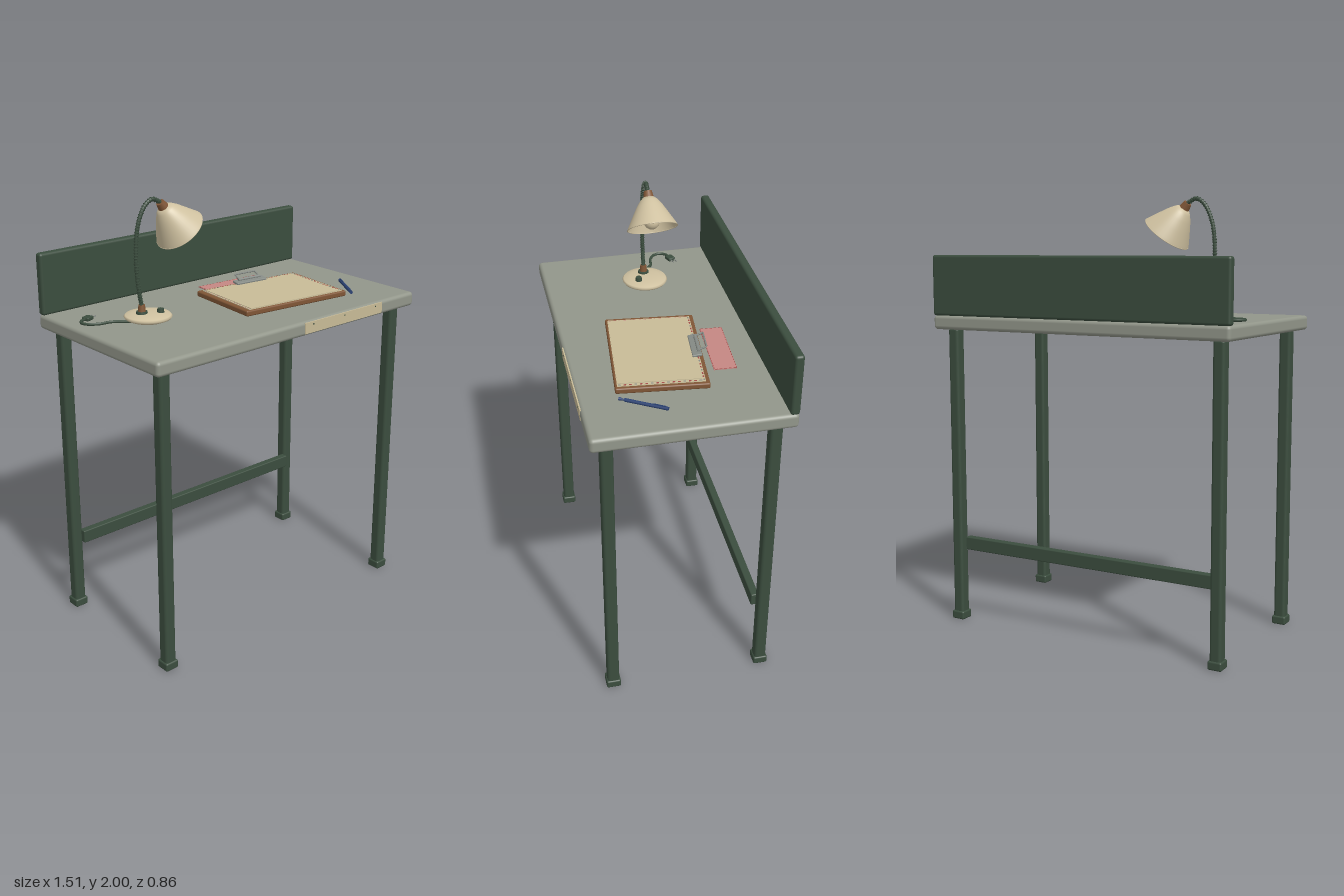
import * as THREE from 'three';
import { RoundedBoxGeometry } from 'three/addons/geometries/RoundedBoxGeometry.js';

const mat = (name, color, side = THREE.FrontSide) => {
  const m = new THREE.MeshStandardMaterial({ color, side });
  m.name = name;
  return m;
};

export function createModel() {
  const green = mat('dark green paint', 0x3b4d3e);
  const grey = mat('grey top', 0x92968a);
  const cream = mat('cream enamel', 0xcfc1a0, THREE.DoubleSide);
  const paper = mat('paper', 0xc8bb97);
  const brown = mat('brown wood', 0x805636);
  const pink = mat('pink paper', 0xc58783);
  const red = mat('red ink', 0xa34a48);
  const blue = mat('blue pen', 0x2b4273);
  const steel = mat('steel', 0x868b86);

  const root = new THREE.Group();
  root.name = 'desk';
  const TOP = 1.465;

  const add = (parent, name, geo, m, x = 0, y = 0, z = 0) => {
    const mesh = new THREE.Mesh(geo, m);
    mesh.name = name;
    mesh.position.set(x, y, z);
    parent.add(mesh);
    return mesh;
  };
  const box = (w, h, d) => new THREE.BoxGeometry(w, h, d);
  const rbox = (w, h, d, r) => new RoundedBoxGeometry(w, h, d, 3, r);
  const group = (name, x, y, z, ry = 0) => {
    const g = new THREE.Group();
    g.name = name;
    g.position.set(x, y, z);
    g.rotation.y = ry;
    root.add(g);
    return g;
  };
  const v = (x, y, z) => new THREE.Vector3(x, y, z);
  const tube = (pts, r, n = 48) => new THREE.TubeGeometry(new THREE.CatmullRomCurve3(pts), n, r, 8);
  const lathe = (pts, n = 40) => new THREE.LatheGeometry(pts.map(p => new THREE.Vector2(...p)), n);

  // Table frame
  add(root, 'tabletop', rbox(1.514, 0.066, 0.856, 0.017), grey, 0, 1.432, 0);
  add(root, 'backPanel', rbox(1.514, 0.278, 0.04, 0.012), green, 0, 1.602, -0.408);
  for (const x of [-0.683, 0.683]) for (const z of [-0.352, 0.352]) {
    add(root, 'leg', rbox(0.055, 1.385, 0.055, 0.014), green, x, 0.7125, z);
    add(root, 'foot', rbox(0.066, 0.04, 0.066, 0.008), green, x, 0.02, z);
  }
  add(root, 'backRail', rbox(1.32, 0.062, 0.036, 0.005), green, 0, 0.37, -0.323);

  // Paper strip pinned to the front edge
  add(root, 'frontStrip', box(0.49, 0.05, 0.008), paper, 0.29, 1.434, 0.4255);
  for (const x of [0.095, 0.29, 0.49])
    add(root, 'stripPin', box(0.006, 0.006, 0.002), green, x, 1.447, 0.43);

  // Lamp base
  const lamp = group('lamp', 0, 0, -0.042);
  add(lamp, 'lampBase', lathe([[0, 0], [0.075, 0], [0.1, 0.01], [0.106, 0.019], [0.1, 0.026],
    [0.07, 0.034], [0.03, 0.038], [0, 0.038]]), cream, -0.445, TOP, 0);
  add(lamp, 'lampFootRing', new THREE.CylinderGeometry(0.024, 0.026, 0.012, 20), green, -0.478, TOP + 0.04, 0);
  add(lamp, 'lampSocket', new THREE.CylinderGeometry(0.014, 0.018, 0.035, 20), brown, -0.478, TOP + 0.058, 0);
  add(lamp, 'lampSwitch', new THREE.CylinderGeometry(0.014, 0.016, 0.018, 20), green, -0.405, TOP + 0.044, 0.037);

  // Ribbed gooseneck
  const neckPts = [[-0.478, 1.53], [-0.496, 1.65], [-0.5, 1.78], [-0.485, 1.888],
    [-0.448, 1.962], [-0.408, 1.986], [-0.368, 1.968]].map(p => v(p[0], p[1], 0));
  const neck = new THREE.CatmullRomCurve3(neckPts);
  add(lamp, 'gooseneck', tube(neckPts, 0.0085, 60), green);
  const ribs = 44;
  const ribGeo = new THREE.TorusGeometry(0.0085, 0.0025, 5, 12);
  for (let i = 0; i <= ribs; i++) {
    const rib = add(lamp, 'gooseneckRib', ribGeo, green);
    rib.position.copy(neck.getPointAt(i / ribs));
    rib.quaternion.setFromUnitVectors(v(0, 0, 1), neck.getTangentAt(i / ribs));
  }

  // Shade, built along its own axis with the mouth at y = 0
  const shade = new THREE.Group();
  shade.name = 'lampShade';
  shade.position.set(-0.265, 1.835, 0);
  shade.quaternion.setFromUnitVectors(v(0, 1, 0), v(-0.61, 0.79, 0).normalize());
  lamp.add(shade);
  add(shade, 'shadeCone', lathe([[0.114, 0], [0.108, 0.012], [0.084, 0.055], [0.06, 0.097],
    [0.04, 0.125], [0.026, 0.138], [0, 0.141]]), cream);
  add(shade, 'shadeRim', new THREE.TorusGeometry(0.113, 0.002, 6, 40).rotateX(Math.PI / 2), cream);
  add(shade, 'shadeCollar', new THREE.CylinderGeometry(0.018, 0.025, 0.034, 20), brown, 0, 0.15, 0);
  add(shade, 'bulb', new THREE.SphereGeometry(0.036, 24, 16), cream, 0, 0.03, 0);
  add(shade, 'bulbNeck', new THREE.CylinderGeometry(0.018, 0.025, 0.09, 16), cream, 0, 0.09, 0);

  // Cord and plug
  const cy = TOP + 0.008;
  add(root, 'cord', tube([v(-0.53, cy, -0.05), v(-0.56, cy, -0.075), v(-0.595, cy, -0.102), v(-0.65, cy, -0.112),
    v(-0.692, cy, -0.138), v(-0.703, cy, -0.17), v(-0.685, cy, -0.198), v(-0.655, cy, -0.208)], 0.0065), green);
  const plug = group('plug', -0.645, cy + 0.001, -0.211, 0.35);
  add(plug, 'plugBody', rbox(0.042, 0.017, 0.036, 0.005), green);
  for (const z of [-0.009, 0.009])
    add(plug, 'plugProng', box(0.026, 0.004, 0.005), steel, 0.033, 0, z);

  // Clipboard with two sheets
  const board = group('clipboard', 0.202, TOP, 0.045, -0.102);
  add(board, 'board', rbox(0.565, 0.026, 0.395, 0.007), brown, 0, 0.014, 0);
  add(board, 'underSheet', box(0.528, 0.004, 0.368), paper, 0.002, 0.028, 0.004);
  add(board, 'topSheet', box(0.5, 0.003, 0.352), paper, -0.002, 0.031, 0.01);
  const dash = (parent, x, y, z, w, d, m) => add(parent, 'inkDash', box(w, 0.001, d), m, x, y, z);
  for (let i = 0; i < 22; i++)
    dash(board, -0.25 + i * 0.024, 0.0302, -0.174, 0.012, 0.006, i % 3 ? red : steel);
  for (let i = 0; i < 16; i++) {
    dash(board, 0.258, 0.0302, -0.16 + i * 0.0225, 0.007, 0.011, i % 3 ? red : steel);
    dash(board, -0.257, 0.0302, -0.16 + i * 0.0225, 0.003, 0.01, pink);
  }

  // Clip: raised steel plate with a wire handle
  add(board, 'clipPlate', rbox(0.17, 0.012, 0.042, 0.004), steel, 0, 0.038, -0.17).rotation.x = 0.15;
  add(board, 'clipHinge', new THREE.CylinderGeometry(0.007, 0.007, 0.125, 12).rotateZ(Math.PI / 2),
    steel, 0, 0.048, -0.178);
  const wire = [v(-0.057, 0.046, -0.168), v(-0.057, 0.066, -0.212), v(0.057, 0.066, -0.212), v(0.057, 0.046, -0.168)];
  const wirePath = new THREE.CurvePath();
  for (let i = 0; i < 3; i++) wirePath.add(new THREE.LineCurve3(wire[i], wire[i + 1]));
  add(board, 'clipWire', new THREE.TubeGeometry(wirePath, 40, 0.004, 8), steel);

  // Pink slip with a dashed border
  const slip = group('pinkSlip', 0.206, TOP, -0.231, -0.06);
  add(slip, 'slipSheet', box(0.335, 0.004, 0.1), pink, 0, 0.002, 0);
  for (const s of [-1, 1]) {
    for (let i = 0; i < 17; i++) dash(slip, -0.16 + i * 0.02, 0.0042, s * 0.048, 0.011, 0.003, red);
    for (let i = 0; i < 5; i++) dash(slip, s * 0.166, 0.0042, -0.04 + i * 0.02, 0.003, 0.011, red);
  }

  // Pen
  const pen = group('pen', 0.562, TOP + 0.009, 0.172, Math.atan2(0.185, 0.115));
  const rod = (r1, r2, l) => new THREE.CylinderGeometry(r1, r2, l, 10).rotateZ(Math.PI / 2);
  add(pen, 'penBody', rod(0.008, 0.008, 0.19), blue, 0.012, 0, 0);
  add(pen, 'penTip', rod(0.008, 0.002, 0.024), blue, -0.095, 0, 0).rotation.x = Math.PI;
  add(pen, 'penClip', box(0.055, 0.003, 0.004), blue, 0.07, 0.009, 0);

  return root;
}
